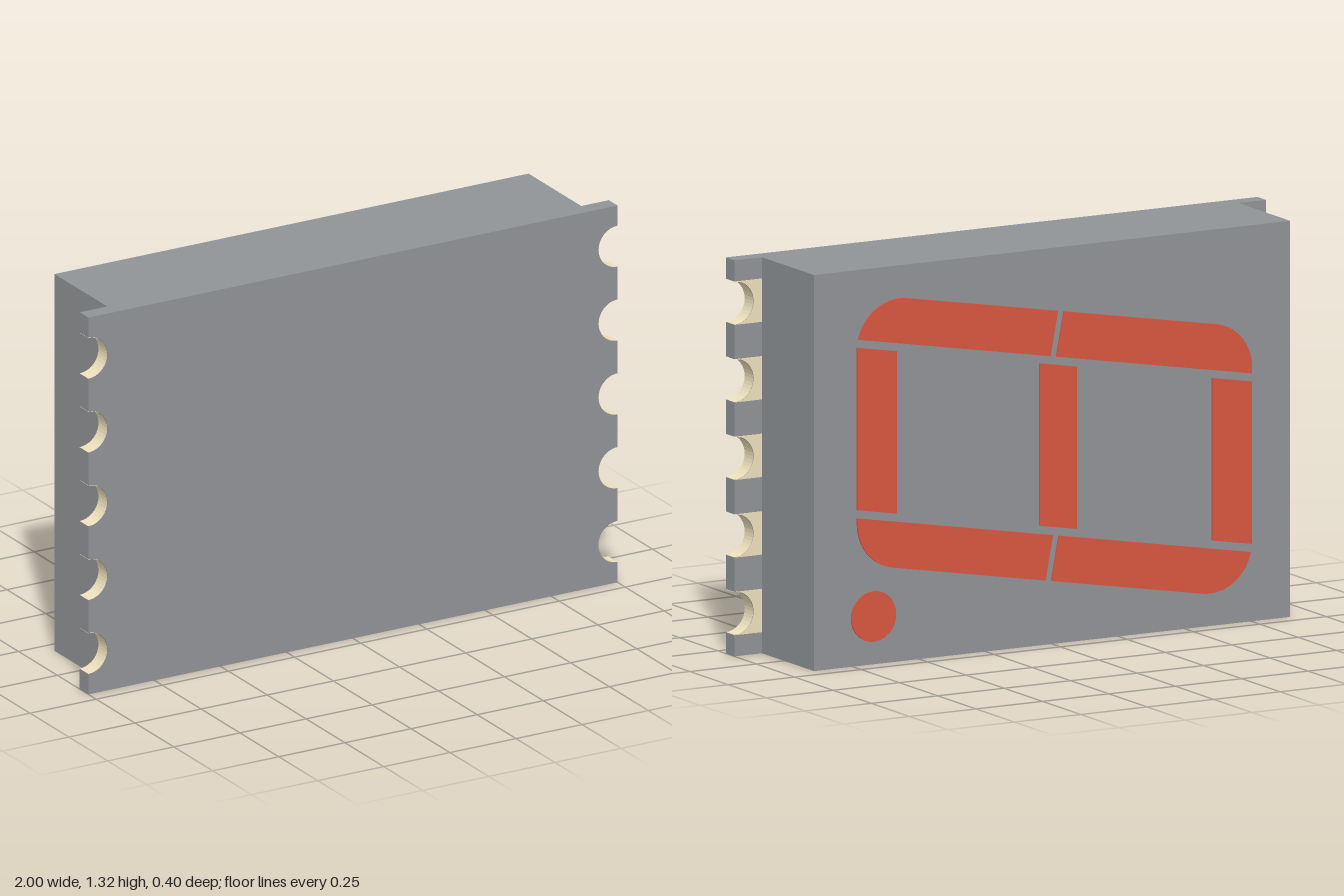
import * as THREE from 'three';

const H = 1.317, MID = H / 2;         // overall height and its middle
const SKEW = 0.176;                   // slant of the digit
const BACK = -0.195, FLANGE = 0.144;  // z of the display face and flange rear
const R = 0.072;                      // edge notch radius
const NOTCHES = [-2, -1, 0, 1, 2].map(i => MID + i * 0.258);

const grey = new THREE.MeshStandardMaterial({ color: 0x909396 });
const red = new THREE.MeshStandardMaterial({ color: 0xd8573f });
const cream = new THREE.MeshStandardMaterial({ color: 0xede0bc, side: THREE.DoubleSide, flatShading: true });

// Extrude a shape in x, y between two z values
function slab(name, shape, z0, z1, material) {
  const geo = new THREE.ExtrudeGeometry(shape, { depth: z1 - z0, bevelEnabled: false, curveSegments: 20 });
  geo.translate(0, 0, z0);
  const mesh = new THREE.Mesh(geo, material);
  mesh.name = name;
  return mesh;
}

// Point in slanted digit coordinates
const slant = (x, v) => new THREE.Vector2(x, v + SKEW * x);

function flangeShape() {
  const s = new THREE.Shape();
  s.moveTo(-1, 0);
  s.lineTo(1, 0);
  for (const y of NOTCHES) s.absarc(1, y, R, Math.PI * 1.5, Math.PI / 2, true);
  s.lineTo(1, H);
  s.lineTo(-1, H);
  for (const y of [...NOTCHES].reverse()) s.absarc(-1, y, R, Math.PI / 2, -Math.PI / 2, true);
  s.closePath();
  return s;
}

// Upper long segments, each with one rounded outer corner
function longSegments() {
  const top = 1.11, low = 0.957, r = 0.16, normal = Math.PI / 2 + Math.atan(SKEW);
  const a = new THREE.Shape();
  a.moveTo(...slant(0.008, low));
  a.lineTo(...slant(0.73, low));
  a.absarc(0.575, 1.048, r, 0.238, normal, false);
  a.lineTo(...slant(-0.02, top));
  a.closePath();
  const b = new THREE.Shape();
  b.moveTo(...slant(-0.014, low));
  b.lineTo(...slant(-0.042, top));
  b.absarc(-0.59, 0.844, r, normal, Math.PI, false);
  b.lineTo(...slant(-0.75, low));
  b.closePath();
  return [a, b];
}

export function createModel() {
  const model = new THREE.Group();
  model.name = 'segmentDisplay';

  // Housing and notched base plate
  const body = new THREE.Mesh(new THREE.BoxGeometry(1.792, H, FLANGE - BACK), grey);
  body.name = 'housing';
  body.position.set(0, MID, (FLANGE + BACK) / 2);
  model.add(body, slab('basePlate', flangeShape(), FLANGE, 0.2, grey));

  // Plated contacts: a half-round lining and a pad behind every notch
  for (const side of [-1, 1]) {
    for (const y of NOTCHES) {
      const contact = new THREE.Group();
      contact.name = 'contact';
      const geo = new THREE.CylinderGeometry(R - 0.001, R - 0.001, 0.2 - FLANGE, 18, 1, true, side > 0 ? Math.PI : 0, Math.PI);
      geo.rotateX(Math.PI / 2);
      const lining = new THREE.Mesh(geo, cream);
      lining.name = 'contactLining';
      lining.position.set(side, y, (0.2 + FLANGE) / 2);

      const pad = new THREE.Shape();
      pad.moveTo(side, y - R);
      pad.absarc(side, y, R, Math.PI * 1.5, Math.PI / 2, side > 0);
      pad.lineTo(side * 0.896, y + R);
      pad.lineTo(side * 0.896, y - R);
      pad.closePath();
      contact.add(lining, slab('contactPad', pad, FLANGE - 0.0015, FLANGE, cream));
      model.add(contact);
    }
  }

  // Short upright segments
  const digit = new THREE.Group();
  digit.name = 'digit';
  for (const [x0, x1] of [[0.587, 0.735], [-0.09, 0.05], [-0.75, -0.6]]) {
    const s = new THREE.Shape([slant(x0, 0.39), slant(x1, 0.39), slant(x1, 0.93), slant(x0, 0.93)]);
    digit.add(slab('shortSegment', s, -0.2, BACK, red));
  }

  // Long segments, the lower pair being the upper pair turned half round
  for (const s of longSegments()) {
    const upper = slab('longSegment', s, -0.2, BACK, red);
    const lower = upper.clone();
    lower.rotation.z = Math.PI;
    lower.position.set(-0.015, H, 0);
    digit.add(upper, lower);
  }

  // Round point
  const dot = new THREE.Shape();
  dot.absarc(0.673, 0.16, 0.084, 0, Math.PI * 2, false);
  digit.add(slab('point', dot, -0.2, BACK, red));
  model.add(digit);

  return model;
}
